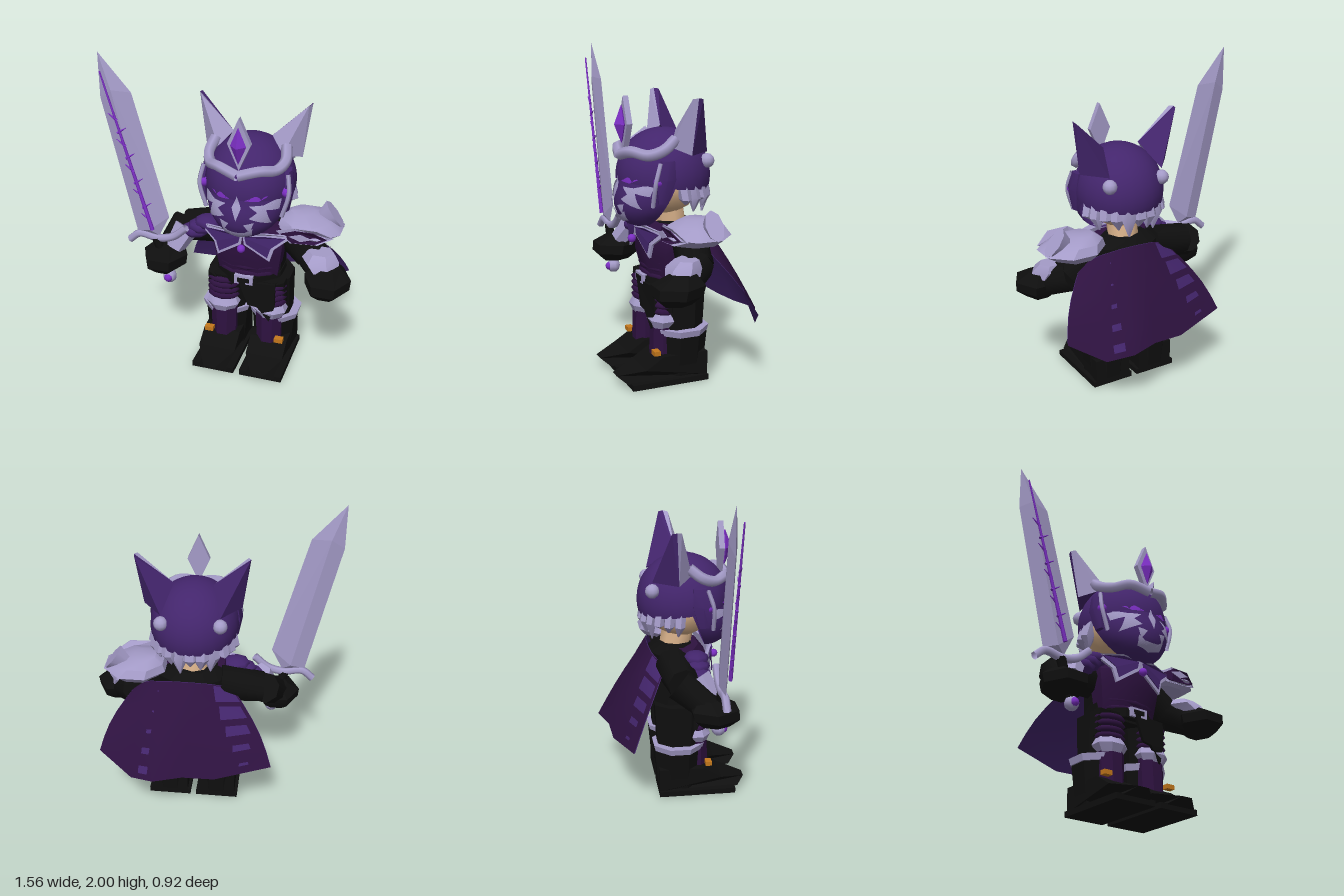
import * as THREE from 'three';
import { toCreasedNormals } from 'three/addons/utils/BufferGeometryUtils.js';
import { ConvexGeometry } from 'three/addons/geometries/ConvexGeometry.js';

const mat = (name, color, side = THREE.FrontSide) => new THREE.MeshStandardMaterial({ name, color, side });
const V = (p) => new THREE.Vector3(...p);

export function createModel() {
  const purple = mat('purple armour', 0x43256c, THREE.DoubleSide);
  const wine = mat('dark wine', 0x2e1240);
  const lilac = mat('pale lilac', 0xa49bc8, THREE.DoubleSide);
  const black = mat('black', 0x0f0f0f);
  const violet = mat('bright violet', 0x7c2fc4, THREE.DoubleSide);
  const gold = mat('gold', 0xc4781c);
  const skin = mat('skin', 0xdcb48c);

  const root = new THREE.Group();
  root.name = 'armouredKnight';
  const body = new THREE.Group(); // symmetric parts, centred on the body axis
  body.name = 'body';
  body.position.x = 0.12;
  root.add(body);

  const add = (parent, name, geo, m) => {
    const mesh = new THREE.Mesh(geo, m);
    mesh.name = name;
    parent.add(mesh);
    return mesh;
  };
  const pair = (name, geo, m) => {
    add(body, name + 'Left', geo, m);
    add(body, name + 'Right', geo, m).scale.x = -1;
  };

  // stacked cross-sections, top to bottom: [x, y, z, rx, rz]
  const loft = (rings, n = 8) => {
    const g = new THREE.CylinderGeometry(1, 1, 1, n, rings.length - 1, false, Math.PI / n);
    const p = g.attributes.position, k = 1 / Math.cos(Math.PI / n);
    for (let i = 0; i < p.count; i++) {
      const [x, y, z, rx, rz] = rings[Math.round((0.5 - p.getY(i)) * (rings.length - 1))];
      p.setXYZ(i, x + p.getX(i) * rx * k, y, z + p.getZ(i) * rz * k);
    }
    return toCreasedNormals(g, 0.6);
  };
  // tapered cylinder between two points
  const limb = (a, b, ra, rb, n = 8, flat = 1) => {
    const A = V(a), B = V(b), d = B.clone().sub(A);
    const g = new THREE.CylinderGeometry(rb, ra, d.length(), n);
    g.scale(1, 1, flat);
    g.applyQuaternion(new THREE.Quaternion().setFromUnitVectors(new THREE.Vector3(0, 1, 0), d.normalize()));
    g.translate(...A.add(B).multiplyScalar(0.5).toArray());
    return toCreasedNormals(g, 0.9);
  };
  const ball = (x, y, z, rx, ry = rx, rz = rx, n = 12) => {
    const g = new THREE.SphereGeometry(1, n, Math.max(6, n / 2));
    return g.scale(rx, ry, rz).translate(x, y, z);
  };
  const shapeOf = (pts) => new THREE.Shape(pts.map(([x, y]) => new THREE.Vector2(x, y)));
  // flat plate, optionally bent backwards away from the centre line
  const plate = (pts, z, depth = 0.02, bend = 0) => {
    const g = new THREE.ExtrudeGeometry(shapeOf(pts), { depth, bevelEnabled: false });
    const p = g.attributes.position;
    for (let i = 0; i < p.count; i++) p.setZ(i, p.getZ(i) + z - bend * p.getX(i) ** 2);
    g.computeVertexNormals();
    return g;
  };
  const tube = (pts, r, n = 6) => new THREE.TubeGeometry(new THREE.CatmullRomCurve3(pts.map(V)), 20, r, n);

  // legs and boots
  pair('thigh', loft([[0.14, 0.6, 0.04, 0.125, 0.16], [0.15, 0.31, 0.04, 0.115, 0.14]]), black);
  pair('bootShaft', loft([[0.158, 0.32, 0.025, 0.14, 0.15], [0.155, 0.04, 0.03, 0.115, 0.13]]), black);
  pair('bootCuff', loft([[0.16, 0.335, 0.03, 0.155, 0.16], [0.16, 0.295, 0.03, 0.145, 0.15]]), lilac);
  pair('sole', new THREE.BoxGeometry(0.275, 0.035, 0.49).translate(0.157, 0.0175, 0.145), black);
  const foot = new THREE.ExtrudeGeometry(
    shapeOf([[-0.1, 0.03], [0.41, 0.03], [0.46, 0.07], [0.3, 0.11], [0.19, 0.18], [-0.1, 0.18]]),
    { depth: 0.24, bevelEnabled: false }).rotateY(-Math.PI / 2).translate(0.12, 0, 0);
  const fp = foot.attributes.position;
  for (let i = 0; i < fp.count; i++) { // narrow the toe
    const z = fp.getZ(i);
    fp.setX(i, 0.157 + fp.getX(i) * (z > 0.42 ? 0.3 : z > 0.35 ? 0.8 : 1));
  }
  foot.computeVertexNormals();
  pair('foot', foot, black);
  pair('shinGuard', loft([[0.15, 0.37, 0.14, 0.085, 0.075], [0.15, 0.2, 0.14, 0.08, 0.08], [0.15, 0.1, 0.15, 0.075, 0.07]]), wine);
  pair('kneeGuard', loft([[0.155, 0.435, 0.15, 0.085, 0.06], [0.155, 0.39, 0.15, 0.105, 0.085], [0.155, 0.34, 0.15, 0.075, 0.065]]), lilac);
  for (const y of [0.125, 0.2]) pair('bootBuckle', new THREE.BoxGeometry(0.055, 0.028, 0.04).translate(0.232, y, 0.22), gold);
  for (let i = 0; i < 4; i++) pair('thighPlate', ball(0.155, 0.565 - i * 0.04, 0.15, 0.105, 0.03, 0.075), wine);

  // torso and belt
  add(body, 'torso', loft([[0, 0.97, 0.02, 0.13, 0.1], [0, 0.92, 0.02, 0.22, 0.15], [0, 0.75, 0.02, 0.2, 0.16], [0, 0.56, 0.02, 0.2, 0.165]]), black);
  add(body, 'breastplate', loft([[0, 0.96, 0.09, 0.19, 0.08], [0, 0.88, 0.1, 0.225, 0.13], [0, 0.78, 0.1, 0.215, 0.13], [0, 0.62, 0.09, 0.19, 0.1]]), wine);
  for (let i = 0; i < 4; i++) add(body, 'abdomenBand', ball(0, 0.78 - i * 0.046, 0.12, 0.2 - i * 0.004, 0.032, 0.1), wine);
  add(body, 'belt', loft([[0, 0.635, 0.04, 0.205, 0.18], [0, 0.575, 0.04, 0.21, 0.185]]), black);
  add(body, 'beltBuckle', new THREE.BoxGeometry(0.12, 0.058, 0.03).translate(0, 0.613, 0.225), lilac);
  add(body, 'buckleCentre', new THREE.BoxGeometry(0.075, 0.028, 0.006).translate(0, 0.613, 0.242), black);
  add(body, 'hipCloth', plate([[-0.03, 0.6], [0.03, 0.44], [0.09, 0.43], [0.165, 0.33], [0.2, 0.44], [0.2, 0.6]], 0.225, 0.02, 0.6), black);
  pair('sideCloth', limb([0.2, 0.6, 0.15], [0.24, 0.44, 0.13], 0.06, 0.02, 6), black);

  // pointed collar with gem
  pair('collarTrim', plate([[0, 0.95], [0.01, 0.88], [0.165, 0.775], [0.19, 0.86], [0.3, 0.945], [0.12, 0.965]], 0.245, 0.015, 0.8), lilac);
  pair('collarPanel', plate([[0.015, 0.935], [0.025, 0.893], [0.153, 0.805], [0.172, 0.87], [0.255, 0.935], [0.12, 0.95]], 0.262, 0.006, 0.8), purple);
  add(body, 'collarGem', ball(0, 0.865, 0.285, 0.026), violet);

  // head
  add(body, 'neck', limb([0, 0.93, 0.03], [0, 1.05, 0.05], 0.1, 0.1), skin);
  add(body, 'head', ball(0, 1.2, 0.07, 0.22, 0.19, 0.22, 16), skin);
  const dome = new THREE.SphereGeometry(1, 24, 12, 0, Math.PI * 2, 0, 1.75);
  add(body, 'helmet', dome.scale(0.275, 0.285, 0.29).rotateX(-0.12).translate(0, 1.25, 0.08), purple);

  // mask surface: front half of an ellipsoid whose jaw leans forward
  const jaw = (y) => 0.42 * Math.max(0, 1.22 - y);
  const faceZ = (x, y) => 0.1 + 0.26 * Math.sqrt(Math.max(0, 1 - (x / 0.26) ** 2 - ((y - 1.22) / 0.28) ** 2)) + jaw(y);
  const mask = new THREE.SphereGeometry(1, 20, 16, 0, Math.PI).scale(0.26, 0.28, 0.26).translate(0, 1.22, 0.1);
  const mp = mask.attributes.position;
  for (let i = 0; i < mp.count; i++) mp.setZ(i, mp.getZ(i) + jaw(mp.getY(i)));
  mask.computeVertexNormals();
  add(body, 'faceMask', mask, purple);
  // painted patch wrapped onto the mask, refined so that it follows the curve
  const patch = (pts, off = 0.008) => {
    const s = new THREE.ShapeGeometry(shapeOf(pts)).toNonIndexed().attributes.position;
    let tri = [];
    for (let i = 0; i < s.count; i++) tri.push([s.getX(i), s.getY(i)]);
    const mid = (a, b) => [(a[0] + b[0]) / 2, (a[1] + b[1]) / 2];
    for (let pass = 0; pass < 3; pass++) {
      const next = [];
      for (let i = 0; i < tri.length; i += 3) {
        const [a, b, c] = tri.slice(i, i + 3), ab = mid(a, b), bc = mid(b, c), ca = mid(c, a);
        next.push(a, ab, ca, ab, b, bc, ca, bc, c, ab, bc, ca);
      }
      tri = next;
    }
    const g = new THREE.BufferGeometry();
    g.setAttribute('position', new THREE.Float32BufferAttribute(tri.flatMap(([x, y]) => [x, y, faceZ(x, y) + off]), 3));
    g.computeVertexNormals();
    return g;
  };
  pair('eyebrow', patch([[0.025, 1.255], [0.1, 1.3], [0.21, 1.335], [0.215, 1.295], [0.11, 1.275]]), lilac);
  pair('eye', patch([[0.045, 1.235], [0.1, 1.262], [0.19, 1.265], [0.12, 1.228]], 0.01), violet);
  pair('cheekStripe', patch([[0.07, 1.205], [0.15, 1.205], [0.235, 1.235], [0.225, 1.16], [0.165, 1.175], [0.19, 1.08], [0.075, 1.13], [0.12, 1.165]]), lilac);
  pair('noseStripe', patch([[0, 1.26], [0.028, 1.19], [0, 1.11]], 0.012), lilac);
  pair('fang', patch([[0.045, 1.09], [0.105, 1.105], [0.08, 1.035]], 0.012), lilac);
  pair('chinStripe', patch([[0, 1.025], [0.05, 1.03], [0.095, 1.06], [0.085, 1.0], [0, 0.975]]), lilac);

  // brow band, crest, ear pods and ears
  pair('browBand', tube([[0, 1.385, 0.36], [0.12, 1.415, 0.325], [0.2, 1.4, 0.25], [0.235, 1.43, 0.17], [0.22, 1.49, 0.09]], 0.034), lilac);
  add(body, 'crestPlate', plate([[0, 1.73], [-0.07, 1.57], [0, 1.41], [0.07, 1.57]], 0.3, 0.035), lilac);
  add(body, 'crestGem', new THREE.OctahedronGeometry(1).scale(0.048, 0.115, 0.045).translate(0, 1.565, 0.345), violet);
  pair('earGuard', loft([[0.25, 1.37, 0.15, 0.02, 0.04], [0.265, 1.26, 0.17, 0.025, 0.06], [0.25, 1.12, 0.18, 0.015, 0.03]], 6), purple);
  pair('earGuardTrim', tube([[0.26, 1.36, 0.2], [0.275, 1.25, 0.235], [0.235, 1.1, 0.24]], 0.014, 5), lilac);
  pair('earGem', ball(0.255, 1.25, 0.21, 0.032), violet);
  const inner = [0.12, 1.53, 0.05], outer = [0.3, 1.4, 0.02], tip = [0.347, 1.735, 0];
  pair('earFront', new ConvexGeometry([inner, outer, tip, [0.2, 1.44, 0.11], [0.33, 1.73, 0.03]].map(V)), lilac);
  pair('earBack', new ConvexGeometry([inner, outer, tip, [0.18, 1.4, -0.13], [0.34, 1.73, -0.03]].map(V)), purple);
  pair('helmetStud', ball(0.18, 1.345, -0.13, 0.045), lilac);

  // hair strands round the back
  for (let i = 0; i < 11; i++) {
    const a = -1.45 + i * 0.29, s = Math.sin(a), c = -Math.cos(a), low = 1.0 + (i % 3) * 0.035 + Math.abs(a) * 0.04;
    add(body, 'hairStrand', loft([[s * 0.2, 1.28, 0.07 + c * 0.21, 0.045, 0.035], [s * 0.235, 1.13, 0.06 + c * 0.235, 0.045, 0.03], [s * 0.22, low, 0.05 + c * 0.21, 0.004, 0.004]], 6), lilac);
  }

  // arms and hands
  const hand = (x) => loft([[x, 0.77, 0.17, 0.06, 0.07], [x, 0.71, 0.2, 0.125, 0.14], [x, 0.65, 0.21, 0.12, 0.135], [x, 0.595, 0.21, 0.06, 0.08]], 6);
  add(root, 'upperArmRight', limb([-0.05, 0.86, 0.0], [-0.32, 0.83, 0.03], 0.12, 0.1), black);
  add(root, 'forearmRight', limb([-0.33, 0.84, 0.0], [-0.4, 0.7, 0.18], 0.1, 0.085), black);
  add(root, 'handRight', hand(-0.405), black);
  add(root, 'bracerRight', limb([-0.29, 0.86, 0.12], [-0.35, 0.74, 0.2], 0.08, 0.06, 6), lilac);
  add(root, 'upperArmLeft', limb([0.34, 0.9, 0.0], [0.5, 0.76, 0.03], 0.11, 0.11), black);
  add(root, 'forearmLeft', limb([0.49, 0.77, 0.02], [0.62, 0.69, 0.16], 0.11, 0.09), black);
  add(root, 'handLeft', hand(0.642), black);
  add(root, 'bracerLeft', loft([[0.58, 0.835, 0.12, 0.07, 0.06], [0.58, 0.79, 0.14, 0.1, 0.09], [0.61, 0.745, 0.16, 0.08, 0.09]], 6), lilac);

  // shoulder armour
  for (let i = 0; i < 3; i++) add(root, 'shoulderPlateRight', ball(-0.14 - i * 0.045, 0.93 - i * 0.035, 0.13, 0.09, 0.045, 0.08, 8), purple);
  add(root, 'pauldron', loft([[0.43, 1.035, 0.0, 0.07, 0.07], [0.46, 1.0, 0.01, 0.15, 0.15], [0.49, 0.95, 0.02, 0.195, 0.185], [0.48, 0.9, 0.02, 0.13, 0.14]]), lilac);
  const rim = [[0.3, 0.945], [0.42, 1.01], [0.56, 1.01], [0.655, 0.95], [0.57, 0.915], [0.4, 0.905]];
  const pauldronFace = (k, z) => plate(rim.map(([x, y]) => [(x - 0.48) * k, (y - 0.957) * k]), z, 0.008, 2).translate(0.48, 0.957, 0);
  add(root, 'pauldronTrim', pauldronFace(1, 0.205), lilac);
  add(root, 'pauldronPanel', pauldronFace(0.8, 0.214), wine);
  add(root, 'pauldronDiamond', plate([[0.4, 0.965], [0.47, 0.94], [0.54, 0.965], [0.47, 0.988]], 0.224, 0.004), lilac);
  add(root, 'pauldronSpike', limb([0.5, 0.93, -0.02], [0.627, 1.025, -0.03], 0.035, 0.1, 8, 0.6), lilac);

  // cape: top and bottom edges joined by a gently sagging sheet
  const top = [[-0.13, 0.87, -0.06], [0, 0.93, -0.13], [0.12, 0.94, -0.14], [0.24, 0.94, -0.14], [0.38, 0.92, -0.12], [0.47, 0.85, -0.05]];
  const hem = [[-0.4, 0.43, -0.28], [-0.05, 0.38, -0.38], [0.15, 0.39, -0.395], [0.33, 0.39, -0.455], [0.48, 0.35, -0.38], [0.69, 0.48, -0.29]];
  const cape = (reverse, dz) => {
    const g = new THREE.PlaneGeometry(1, 1, 5, 5), p = g.attributes.position;
    for (let i = 0; i < p.count; i++) {
      const c = Math.round((p.getX(i) + 0.5) * 5), t = 0.5 - p.getY(i), k = reverse ? 5 - c : c;
      const v = V(top[k]).lerp(V(hem[k]), t);
      const sag = Math.sin(Math.PI * t) * 0.03;
      p.setXYZ(i, v.x + (k - 2.5) * sag * 0.5, v.y, v.z + dz - sag * 0.4);
    }
    g.computeVertexNormals();
    return g;
  };
  add(root, 'capeLining', cape(false, 0), purple);
  add(root, 'capeOuter', cape(true, -0.005), wine);

  // sword
  const sword = new THREE.Group();
  sword.name = 'sword';
  root.add(sword);
  const edge = [[-0.77, 2.0], [-0.57, 1.77], [-0.36, 0.98], [-0.43, 0.84], [-0.575, 0.85], [-0.77, 1.72]].map(([x, y]) => V([x, y, 0.235]));
  const ridge = [[-0.69, 1.78], [-0.485, 0.88]].flatMap(([x, y]) => [V([x, y, 0.26]), V([x, y, 0.21])]);
  add(sword, 'blade', new ConvexGeometry([...edge, ...ridge]), lilac);
  add(sword, 'guard', tube([[-0.63, 0.78], [-0.56, 0.835], [-0.44, 0.82], [-0.34, 0.845], [-0.25, 0.92]].map(([x, y]) => [x, y, 0.235]), 0.025), lilac);
  add(sword, 'grip', limb([-0.45, 0.82, 0.235], [-0.375, 0.57, 0.235], 0.03, 0.025), black);
  add(sword, 'pommel', ball(-0.37, 0.555, 0.235, 0.045, 0.045, 0.045, 8), lilac);
  add(sword, 'pommelGem', ball(-0.37, 0.555, 0.262, 0.028), violet);
  add(sword, 'bladeVine', limb([-0.455, 0.9, 0.285], [-0.74, 1.9, 0.285], 0.013, 0.005, 6), violet);
  for (let i = 0; i < 9; i++) {
    const t = 0.08 + i * 0.08, x = -0.455 - 0.285 * t, y = 0.9 + t, s = i % 2 ? 1 : -1;
    add(sword, 'vineThorn', limb([x - s * 0.012, y - 0.015, 0.285], [x + s * 0.045, y + 0.025, 0.285], 0.009, 0.002, 5), violet);
  }
  return root;
}
